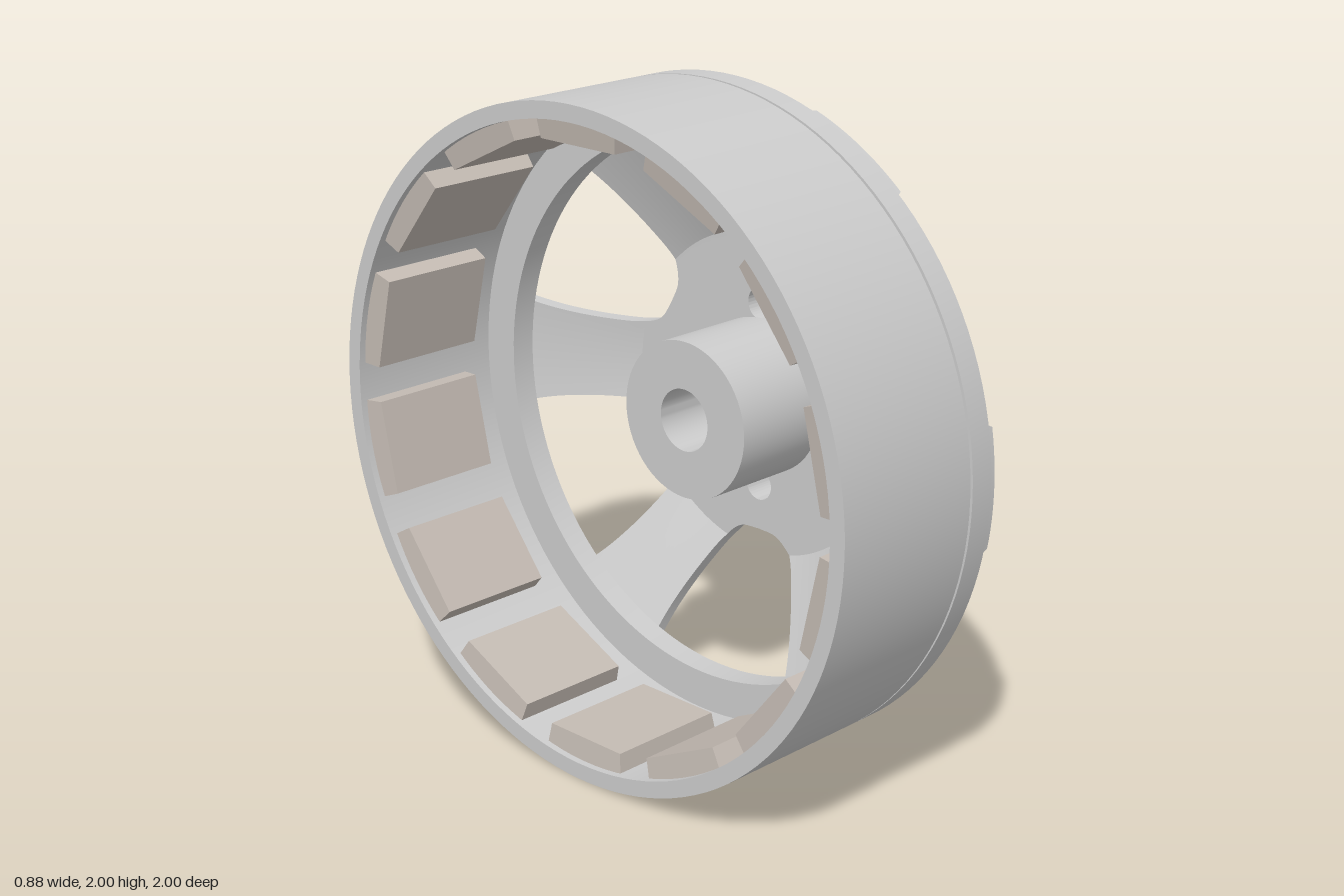
import * as THREE from 'three';
import { toCreasedNormals } from 'three/addons/utils/BufferGeometryUtils.js';

const grey = new THREE.MeshStandardMaterial({ color: 0xcccccc });
const magnetGrey = new THREE.MeshStandardMaterial({ color: 0xc4bbb3 });

function part(name, geometry, material = grey) {
  const mesh = new THREE.Mesh(geometry, material);
  mesh.name = name;
  return mesh;
}

// Revolves [radius, x] points about the x axis
function revolve(points, segments) {
  const geo = new THREE.LatheGeometry(points.map(([r, x]) => new THREE.Vector2(r, x)), segments);
  geo.rotateZ(-Math.PI / 2);
  return toCreasedNormals(geo, 0.4);
}

// Dished wheel face: flat hub, then a cone down to the rim
const outerX = r => 0.44 - Math.max(0, r - 0.5) * 0.53;
const innerX = r => Math.max(0.1, 0.325 - Math.max(0, r - 0.5) * 0.5);

// Spoke edge curves as [distance along spoke, half width]
const curve = pts => new THREE.CatmullRomCurve3(pts.map(([u, v]) => new THREE.Vector3(u, v, 0)));
const faceEdge = curve([[0.338, 0.195], [0.401, 0.116], [0.492, 0.088], [0.6, 0.093],
  [0.75, 0.113], [0.89, 0.143], [0.983, 0.176]]);
const windowEdge = curve([[0.372, 0.215], [0.4135, 0.158], [0.483, 0.13], [0.6, 0.128],
  [0.75, 0.146], [0.87, 0.178], [0.974, 0.215]]);

function spokeGeometry() {
  const rows = 48, cols = 12, pos = [], index = [];
  const ringSize = 2 * (cols + 1) + 2;
  const add = (x, r, a) => pos.push(x, r * Math.sin(a), r * Math.cos(a));
  for (let i = 0; i <= rows; i++) {
    const f = faceEdge.getPoint(i / rows), w = windowEdge.getPoint(i / rows);
    const rf = Math.hypot(f.x, f.y), af = Math.atan2(f.y, f.x);
    const rw = Math.hypot(w.x, w.y), aw = Math.atan2(w.y, w.x);
    const chamferX = outerX(rw) - 0.06;
    // closed section: face arc, chamfer, wall, underside arc, wall, chamfer
    for (let j = 0; j <= cols; j++) add(outerX(rf), rf, af * (2 * j / cols - 1));
    add(chamferX, rw, aw);
    for (let j = cols; j >= 0; j--) add(innerX(rw), rw, aw * (2 * j / cols - 1));
    add(chamferX, rw, -aw);
  }
  for (let i = 0; i < rows; i++) {
    for (let j = 0; j < ringSize; j++) {
      const a = i * ringSize + j, b = i * ringSize + (j + 1) % ringSize;
      const c = a + ringSize, d = b + ringSize;
      index.push(a, b, c, b, d, c);
    }
  }
  // outer tip
  const base = rows * ringSize;
  for (let j = 0; j < cols; j++) {
    const t = base + j, u = base + ringSize - 2 - j;
    index.push(t, t + 1, u, t + 1, u - 1, u);
  }
  const geo = new THREE.BufferGeometry();
  geo.setAttribute('position', new THREE.Float32BufferAttribute(pos, 3));
  geo.setIndex(index);
  return toCreasedNormals(geo, 0.35);
}

function hubGeometry() {
  const shape = new THREE.Shape().absarc(0, 0, 0.39, 0, Math.PI * 2, false);
  const hole = (x, y, r) => shape.holes.push(new THREE.Path().absarc(x, y, r, 0, Math.PI * 2, true));
  hole(0, 0, 0.095);
  for (let i = 0; i < 4; i++) {
    const a = i * Math.PI / 2;
    hole(0.285 * Math.cos(a), 0.285 * Math.sin(a), 0.05);
  }
  const geo = new THREE.ExtrudeGeometry(shape, { depth: 0.115, bevelEnabled: false, curveSegments: 72 });
  geo.rotateY(Math.PI / 2);
  geo.translate(0.325, 0, 0);
  return toCreasedNormals(geo, 0.4);
}

// Magnet block whose inward face is slightly smaller
function magnetGeometry() {
  const geo = new THREE.BoxGeometry(0.4, 0.31, 0.075);
  const p = geo.attributes.position;
  for (let i = 0; i < p.count; i++) {
    if (p.getZ(i) < 0) p.setXY(i, p.getX(i) * 0.95, p.getY(i) * 0.93);
  }
  geo.computeVertexNormals();
  geo.translate(-0.22, 0, 0.918);
  return geo;
}

export function createModel() {
  const model = new THREE.Group();
  const wheel = new THREE.Group();
  wheel.name = 'wheel';
  wheel.position.y = 1;
  model.add(wheel);

  // Rim drum with a fine seam and an inward front flange
  wheel.add(part('rim', revolve([[0.95, -0.44], [1, -0.44], [1, 0.07], [0.988, 0.07], [0.988, 0.08],
    [1, 0.08], [1, 0.16], [0.83, 0.16], [0.83, 0.08], [0.95, 0.08], [0.95, -0.44]], 128)));

  // Hub plate, its underside border and the shaft boss
  wheel.add(part('hubPlate', hubGeometry()));
  const border = new THREE.RingGeometry(0.385, 0.43, 72);
  border.rotateY(-Math.PI / 2);
  border.translate(0.325, 0, 0);
  wheel.add(part('hubUnderside', border));
  wheel.add(part('shaftBoss', revolve([[0.095, 0], [0.24, 0], [0.24, 0.33], [0.095, 0.33], [0.095, 0]], 64)));

  // Six spokes
  const spoke = spokeGeometry();
  for (let i = 0; i < 6; i++) {
    const mesh = part('spoke', spoke);
    mesh.rotation.x = i * Math.PI / 3;
    wheel.add(mesh);
  }

  // Fourteen magnets around the drum's inner wall
  const magnet = magnetGeometry();
  for (let i = 0; i < 14; i++) {
    const mesh = part('magnet', magnet, magnetGrey);
    mesh.rotation.x = Math.PI / 2 + i * Math.PI / 7;
    wheel.add(mesh);
  }
  return model;
}
